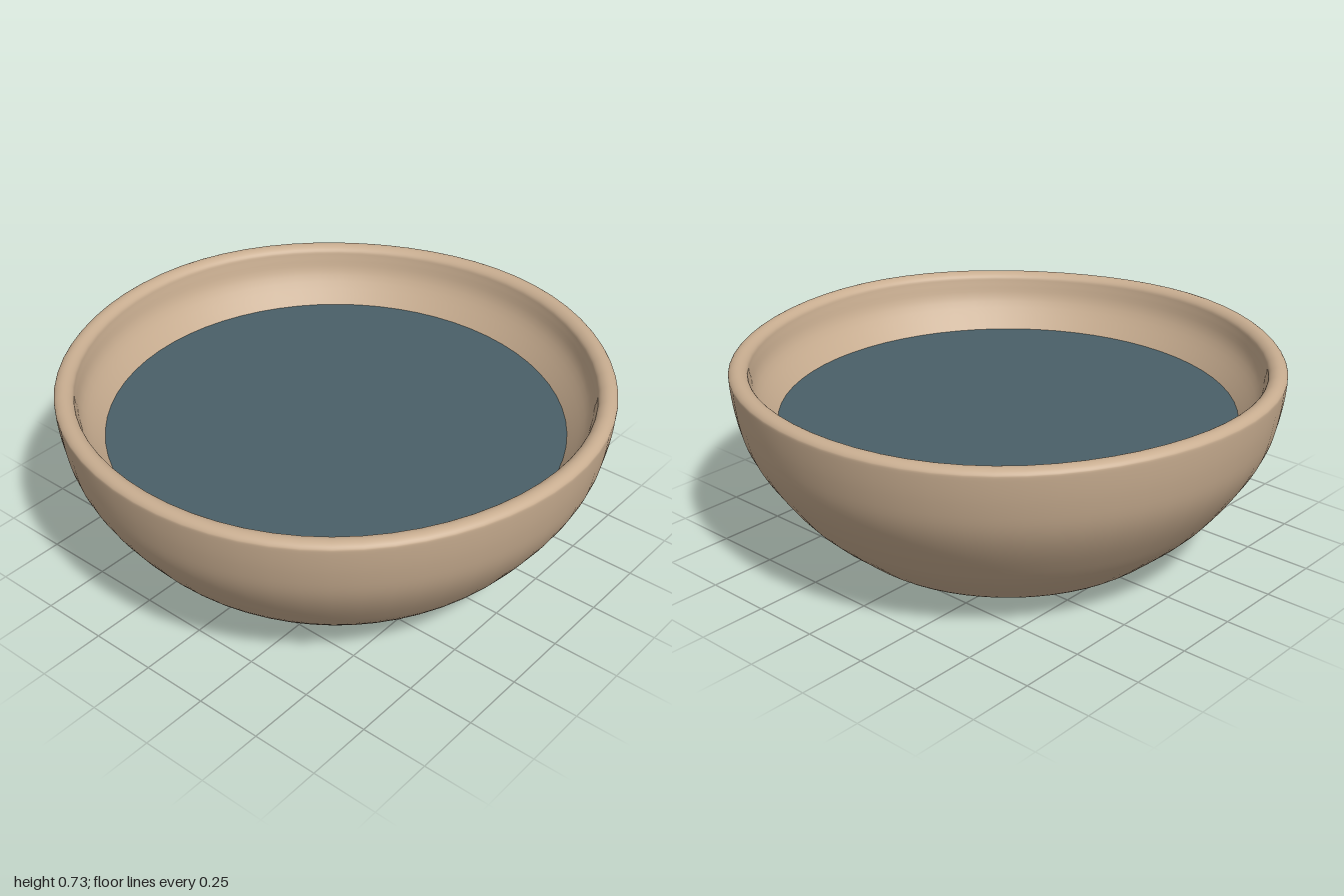
import * as THREE from 'three';

const clay = new THREE.MeshStandardMaterial({ color: 0xc8ad90 });
clay.name = 'clay';
const liquid = new THREE.MeshStandardMaterial({ color: 0x4a6068 });
liquid.name = 'liquid';

const SEGMENTS = 64;

// Bowl wall: one profile up the outside, over the lip and down the inside
function makeBowl() {
  const profile = [
    [0, 0.005], [0.2, 0.003], [0.34, 0.001], [0.48, 0.014], [0.59, 0.05], [0.67, 0.11],
    [0.78, 0.21], [0.86, 0.31], [0.925, 0.41], [0.965, 0.5], [0.987, 0.6], [0.997, 0.69],
    [0.994, 0.712], [0.975, 0.724], [0.952, 0.723], [0.932, 0.708], [0.925, 0.68],
    [0.905, 0.61], [0.835, 0.51], [0.74, 0.38], [0.6, 0.22], [0.42, 0.14], [0.2, 0.12], [0, 0.12],
  ].map(([x, y]) => new THREE.Vector2(x, y));
  const points = new THREE.SplineCurve(profile).getPoints(92);
  points.forEach((p) => { p.x = Math.max(p.x, 0); p.y = Math.max(p.y, 0); });
  const geometry = new THREE.LatheGeometry(points, SEGMENTS);

  // Slight hand-made waviness that fades in towards the rim
  const pos = geometry.attributes.position;
  for (let i = 0; i < pos.count; i++) {
    const y = pos.getY(i);
    const angle = Math.atan2(pos.getZ(i), pos.getX(i));
    const fade = THREE.MathUtils.smoothstep(y, 0.55, 0.72);
    pos.setY(i, y + 0.005 * fade * Math.sin(4 * angle + 0.6));
  }
  const bowl = new THREE.Mesh(geometry, clay);
  bowl.name = 'bowl';
  return bowl;
}

// Flat surface of the contents
function makeLiquid() {
  const surface = new THREE.Mesh(new THREE.CircleGeometry(0.835, SEGMENTS), liquid);
  surface.rotation.x = -Math.PI / 2;
  surface.position.y = 0.512;
  surface.name = 'liquidSurface';
  return surface;
}

export function createModel() {
  const model = new THREE.Group();
  model.name = 'filledBowl';
  model.add(makeBowl(), makeLiquid());
  return model;
}
